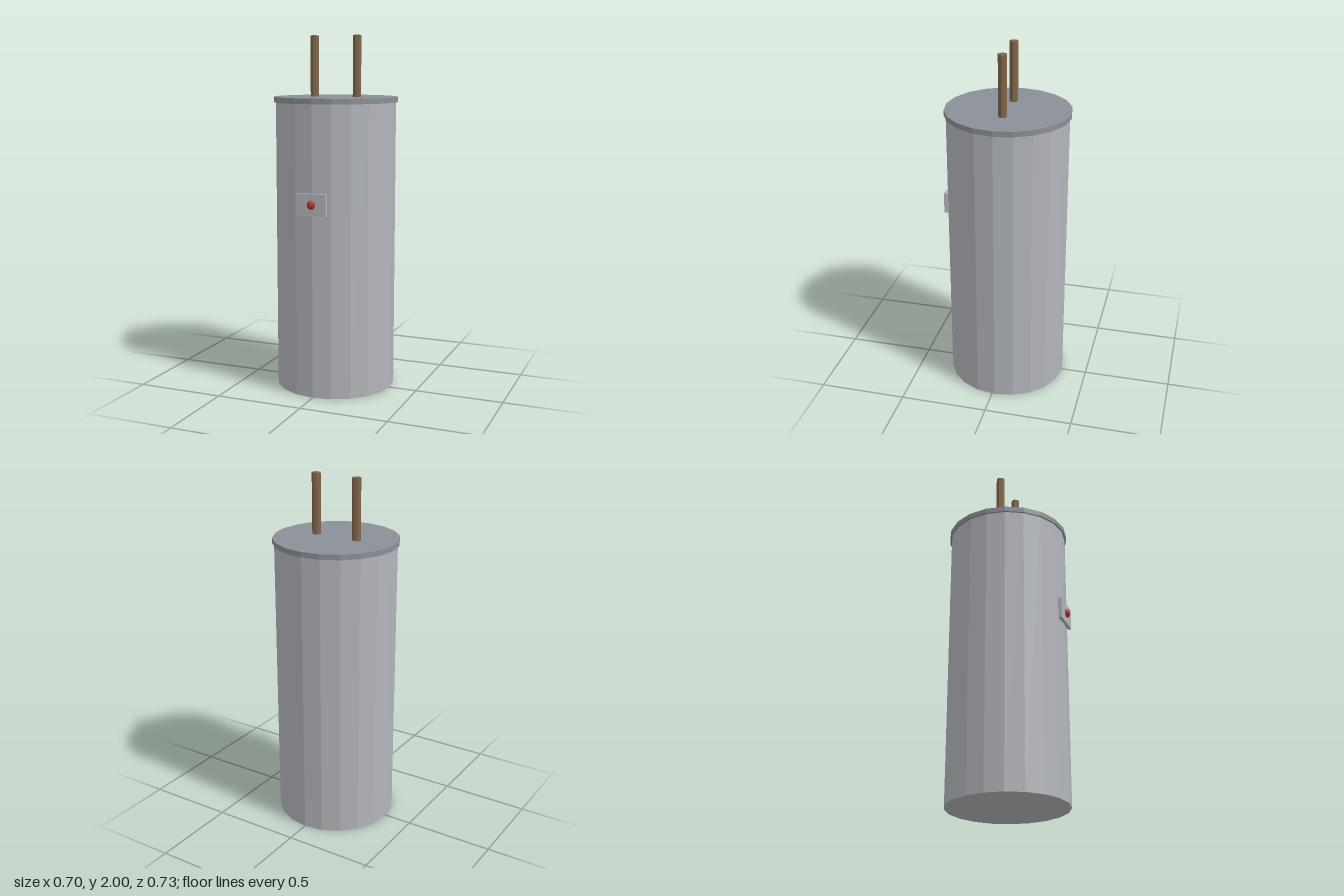
import * as THREE from 'three';

function paint(name, color) {
  const m = new THREE.MeshStandardMaterial({ color, flatShading: true });
  m.name = name;
  return m;
}

export function createModel() {
  const group = new THREE.Group();
  group.name = 'canister';
  const lightGrey = paint('light grey', 0xb2b5ba);
  const slateGrey = paint('slate grey', 0x8b8f98);
  const brown = paint('brown', 0x80654a);
  const red = paint('red', 0xb0302a);
  const axisZ = -0.014;

  function add(name, geometry, material, x, y, z) {
    const mesh = new THREE.Mesh(geometry, material);
    mesh.name = name;
    mesh.position.set(x, y, z);
    group.add(mesh);
  }

  // Faceted can and its slightly wider lid
  add('body', new THREE.CylinderGeometry(0.34, 0.34, 1.63, 20), lightGrey, 0, 0.815, axisZ);
  add('lid', new THREE.CylinderGeometry(0.35, 0.35, 0.03, 20), slateGrey, 0, 1.645, axisZ);

  // Pair of terminal pins
  for (const side of [-1, 1]) {
    add(side > 0 ? 'leftPin' : 'rightPin',
      new THREE.CylinderGeometry(0.025, 0.025, 0.35, 8), brown, side * 0.128, 1.825, axisZ);
  }

  // Front plate with a small indicator bulb
  add('plate', new THREE.BoxGeometry(0.172, 0.12, 0.02), lightGrey, 0, 1.09, 0.33);
  add('indicator', new THREE.SphereGeometry(0.025, 8, 6), red, 0, 1.09, 0.338);

  return group;
}
